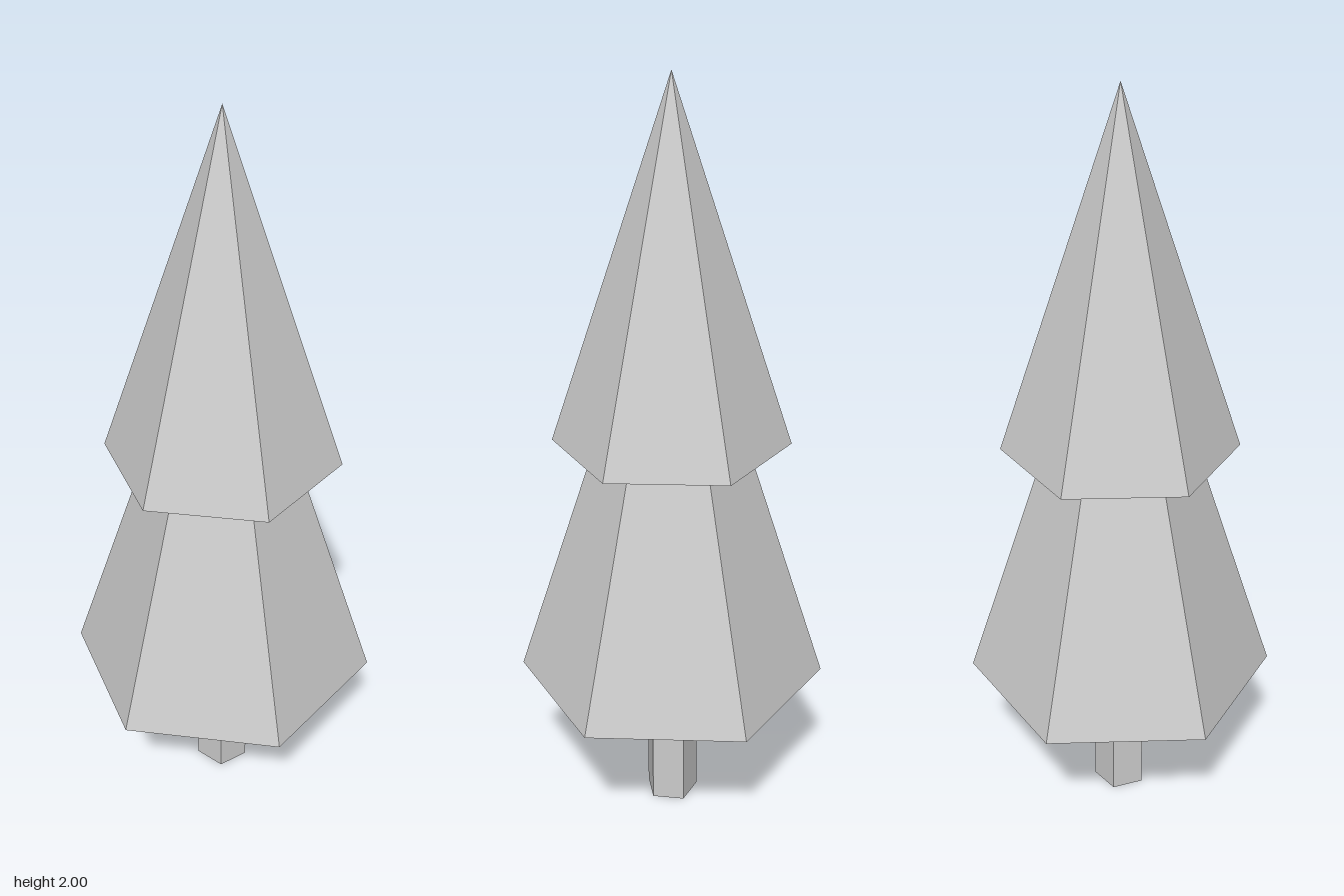
import * as THREE from 'three';

export function createModel() {
  const tree = new THREE.Group();
  tree.name = 'tree';
  const grey = new THREE.MeshStandardMaterial({ color: 0xcccccc, flatShading: true });
  grey.name = 'light grey';

  // Adds a mesh whose base rests at the given height
  function addPart(name, geometry, height, base) {
    const mesh = new THREE.Mesh(geometry, grey);
    mesh.name = name;
    mesh.position.y = base + height / 2;
    tree.add(mesh);
    return mesh;
  }

  // Five-sided trunk with a flat side to the front
  const trunk = addPart('trunk', new THREE.CylinderGeometry(0.073, 0.073, 0.4, 5), 0.4, 0);
  trunk.rotation.y = Math.PI;

  // Two six-sided tiers of foliage, the upper overlapping the lower
  const tiers = [
    { name: 'lowerFoliage', radius: 0.41, base: 0.4, height: 1.27 },
    { name: 'upperFoliage', radius: 0.308, base: 1.07, height: 0.93 },
  ];
  for (const { name, radius, base, height } of tiers) {
    addPart(name, new THREE.ConeGeometry(radius, height, 6), height, base);
  }
  return tree;
}
